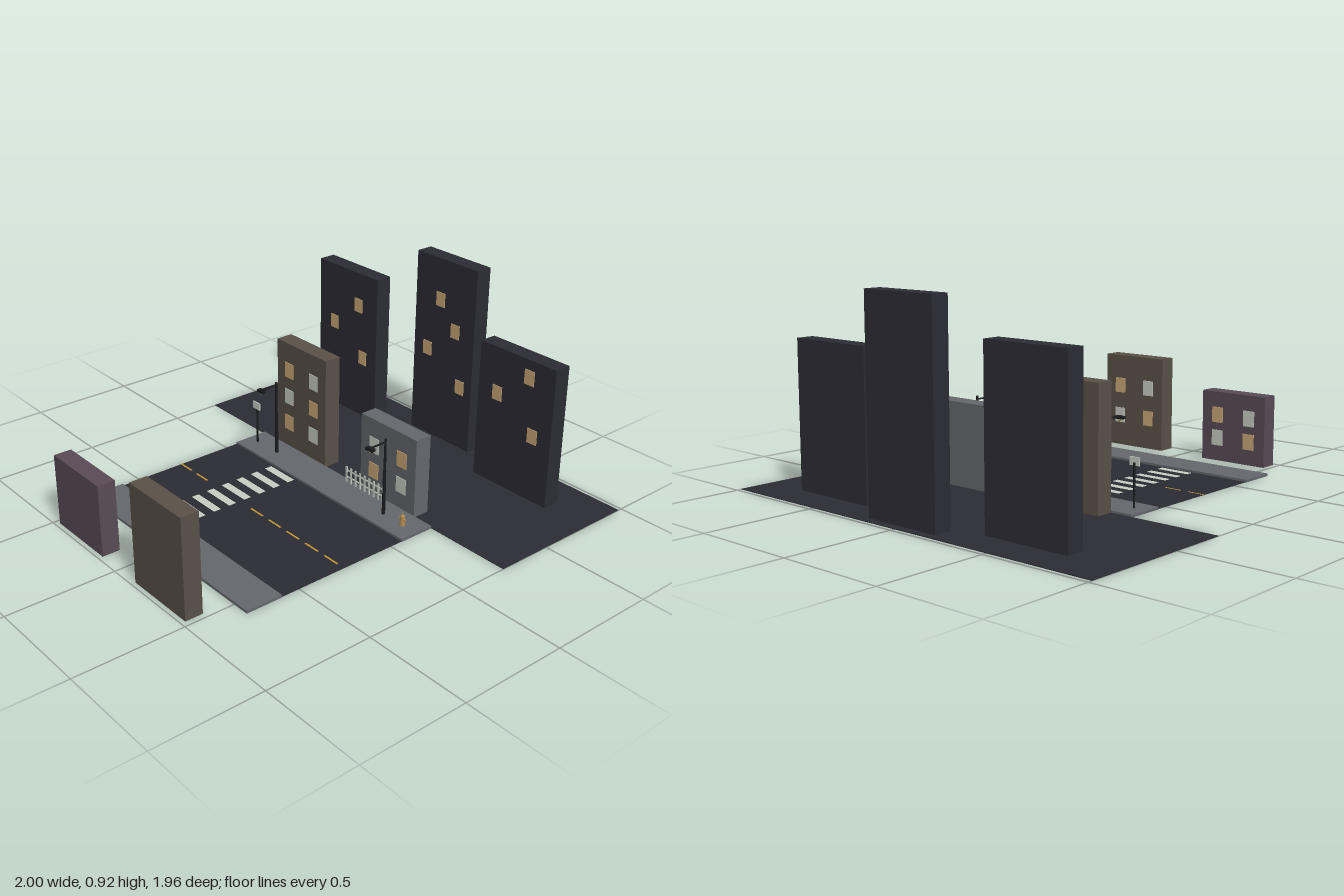
import * as THREE from 'three';

const mat = (name, color, extra = {}) => {
  const m = new THREE.MeshStandardMaterial({ color, ...extra });
  m.name = name;
  return m;
};

export function createModel() {
  const night = mat('night blue', 0x2c2c35);
  const asphalt = mat('asphalt', 0x2b2c33, { side: THREE.DoubleSide });
  const concrete = mat('concrete grey', 0x64686d);
  const brown = mat('brown plaster', 0x5a5147);
  const plum = mat('plum plaster', 0x594b56);
  const iron = mat('black iron', 0x1b1b1e);
  const warm = mat('warm light', 0xc9a877);
  const pale = mat('pale white', 0xc9ccc3, { side: THREE.DoubleSide });
  const yellow = mat('line yellow', 0xc0922f, { side: THREE.DoubleSide });
  const tan = mat('hydrant tan', 0xb08c50);

  const root = new THREE.Group();
  root.name = 'streetScene';

  const add = (parent, name, geometry, material, x, y, z) => {
    const m = new THREE.Mesh(geometry, material);
    m.name = name;
    m.position.set(x, y, z);
    parent.add(m);
    return m;
  };
  // box standing on height y
  const box = (parent, name, material, w, h, d, x, y, z) =>
    add(parent, name, new THREE.BoxGeometry(w, h, d), material, x, y + h / 2, z);
  const cyl = (parent, name, material, r0, r1, h, x, y, z, sides = 10) =>
    add(parent, name, new THREE.CylinderGeometry(r1, r0, h, sides), material, x, y + h / 2, z);
  const flat = (parent, name, material, w, d, x, y, z) =>
    add(parent, name, new THREE.PlaneGeometry(w, d).rotateX(-Math.PI / 2), material, x, y, z);
  const group = (name, x = 0, y = 0, z = 0) => {
    const g = new THREE.Group();
    g.name = name;
    g.position.set(x, y, z);
    root.add(g);
    return g;
  };

  // Ground, road and pavements
  box(root, 'backGround', night, 2, 0.003, 0.745, 0, 0, -0.6075);
  flat(root, 'road', asphalt, 1.164, 0.65, 0, 0.002, 0.265);
  box(root, 'backPavement', concrete, 1.164, 0.012, 0.175, 0, 0, -0.1475);
  box(root, 'frontPavement', concrete, 1.164, 0.012, 0.175, 0, 0, 0.6775);

  // Road markings
  const markings = group('roadMarkings');
  for (let i = 0; i < 8; i++)
    flat(markings, 'crossingStripe', pale, 0.171, 0.038, -0.209, 0.0035, -0.028 + i * 0.0835);
  for (const x of [-0.54, -0.416, 0, 0.125, 0.25, 0.375, 0.5])
    flat(markings, 'centreDash', yellow, 0.085, 0.01, x, 0.0035, 0.265);

  // Skyline blocks with scattered lit windows (offsets from block centre)
  const skyline = [
    { x: -0.545, z: -0.779, w: 0.418, h: 0.755, lit: [[0.077, 0.588], [-0.098, 0.452], [0.113, 0.318]] },
    { x: 0, z: -0.901, w: 0.384, h: 0.92, lit: [[-0.03, 0.72], [0.072, 0.588], [-0.104, 0.452], [0.118, 0.318]] },
    { x: 0.566, z: -0.779, w: 0.433, h: 0.67, lit: [[0.073, 0.588], [-0.104, 0.452], [0.113, 0.318]] },
  ];
  for (const { x, z, w, h, lit } of skyline) {
    const g = group('skylineBlock', x, 0, z);
    box(g, 'tower', night, w, h, 0.082, 0, 0, 0);
    for (const [dx, y] of lit)
      add(g, 'towerWindow', new THREE.BoxGeometry(0.055, 0.07, 0.004), warm, dx, y, 0.042);
  }

  // Street houses; windows look towards the road
  const house = (x, z, h, rows, facing, material) => {
    const g = group('house', x, 0, z);
    box(g, 'houseWalls', material, 0.35, h, 0.083, 0, 0, 0);
    for (let r = 0; r < rows; r++)
      for (let c = 0; c < 2; c++)
        add(g, 'houseWindow', new THREE.BoxGeometry(0.06, 0.075, 0.004),
          (r + c) % 2 ? pale : warm,
          (c - 0.5) * 0.177, (h * (r + 1)) / (rows + 1), facing * 0.0425);
  };
  house(-0.3, -0.2765, 0.545, 3, 1, brown);
  house(0.298, -0.2765, 0.38, 2, 1, concrete);
  house(-0.3, 0.9375, 0.335, 2, -1, plum);
  house(0.298, 0.9375, 0.46, 2, -1, brown);

  // Street lamps reaching over the road
  for (const x of [-0.376, 0.374]) {
    const g = group('streetLamp', x, 0.012, -0.146);
    cyl(g, 'lampLowerPost', iron, 0.008, 0.007, 0.213, 0, 0, 0);
    cyl(g, 'lampUpperPost', iron, 0.006, 0.005, 0.155, 0, 0.213, 0);
    box(g, 'lampArm', iron, 0.006, 0.006, 0.1, 0, 0.35, 0.046);
    box(g, 'lampHead', iron, 0.042, 0.012, 0.022, 0, 0.342, 0.087);
    add(g, 'lampBulb', new THREE.SphereGeometry(0.008, 10, 8), warm, 0, 0.339, 0.087);
  }

  // Roadside sign
  const sign = group('roadSign', -0.52, 0.012, -0.142);
  cyl(sign, 'signPole', iron, 0.005, 0.005, 0.19, 0, 0, 0);
  box(sign, 'signPlate', pale, 0.05, 0.036, 0.006, 0, 0.177, 0.003);

  // Hydrant
  const hydrant = group('hydrant', 0.497, 0.012, -0.144);
  cyl(hydrant, 'hydrantBody', tan, 0.013, 0.01, 0.042, 0, 0, 0);
  add(hydrant, 'hydrantCap', new THREE.SphereGeometry(0.01, 10, 8), tan, 0, 0.042, 0);
  cyl(hydrant, 'hydrantNut', tan, 0.004, 0.003, 0.01, 0, 0.05, 0, 6);
  const nozzles = cyl(hydrant, 'hydrantNozzles', tan, 0.005, 0.005, 0.036, 0, 0, 0, 8);
  nozzles.rotation.z = Math.PI / 2;
  nozzles.position.y = 0.03;

  // Picket fence
  const fence = group('fence', 0.176, 0.012, -0.212);
  for (let i = 0; i < 9; i++)
    box(fence, 'picket', pale, 0.009, 0.08, 0.005, -0.122 + i * 0.0305, 0, 0);
  for (const y of [0.022, 0.056])
    box(fence, 'fenceRail', pale, 0.253, 0.007, 0.004, 0, y, -0.003);

  return root;
}
